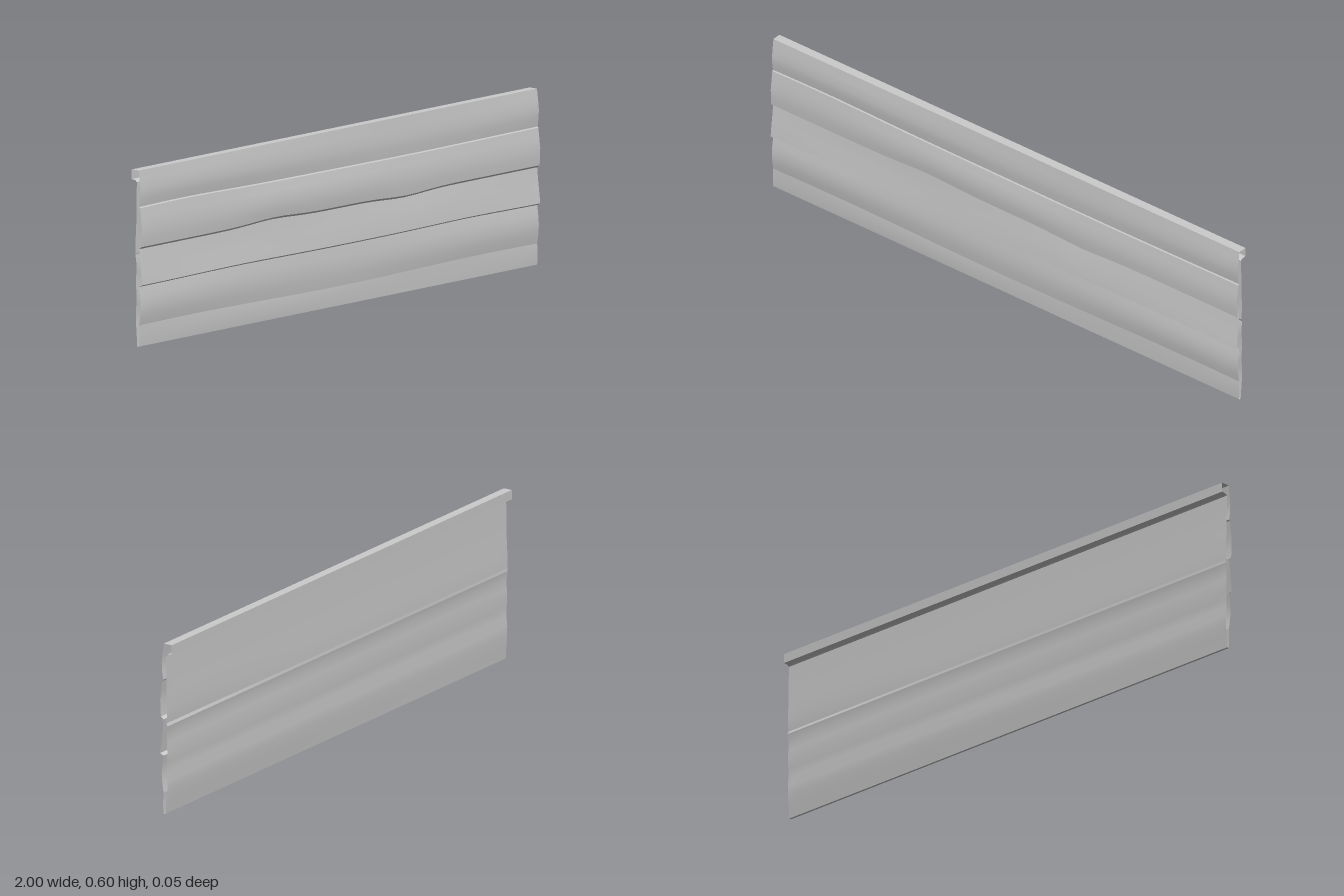
import * as THREE from 'three';

const material = new THREE.MeshStandardMaterial({ color: 0xcccccc, side: THREE.DoubleSide });
const COLS = 36;

// Smooth sheet through rows of [y, z]; wave(x, y, row) returns small [dy, dz] offsets.
// Rows running upward make a surface facing +z, downward one facing -z.
function sheet(name, rows, wave = () => [0, 0]) {
  const pos = [], idx = [];
  rows.forEach(([y, z], r) => {
    for (let c = 0; c <= COLS; c++) {
      const x = -1 + 2 * c / COLS;
      const [dy, dz] = wave(x, y, r);
      pos.push(x, y + dy, z + dz);
      if (r && c) {
        const d = r * (COLS + 1) + c, b = d - COLS - 1;
        idx.push(b - 1, b, d, b - 1, d, d - 1);
      }
    }
  });
  const g = new THREE.BufferGeometry();
  g.setAttribute('position', new THREE.Float32BufferAttribute(pos, 3));
  g.setIndex(idx);
  g.computeVertexNormals();
  const mesh = new THREE.Mesh(g, material);
  mesh.name = name;
  return mesh;
}

// Local dent or bump along the length
const bump = (x, at, width) => Math.exp(-(((x - at) / width) ** 2));

// Height wobble of the seams between boards, from the bottom up
const seams = [
  () => 0,
  x => 0.004 * Math.sin(4.2 * x - 1.6),
  x => 0.004 * (bump(x, -0.5, 0.3) + bump(x, 0.65, 0.25)),
  x => 0.009 * (bump(x, -0.33, 0.14) - bump(x, 0.33, 0.13)),
  x => 0.007 * bump(x, -0.78, 0.3) - 0.004 * bump(x, 0.4, 0.5),
  () => 0,
];

// Each board's [y, z] section from its lower to its upper seam
const boards = [
  [[0, 0.008], [0.035, 0.011], [0.07, 0.008]],
  [[0.07, 0.008], [0.1, 0.013], [0.135, 0.016], [0.17, 0.013], [0.203, 0.008]],
  [[0.21, 0.022], [0.24, 0.02], [0.275, 0.016], [0.305, 0.012], [0.332, 0.008]],
  [[0.34, 0.019], [0.365, 0.022], [0.4, 0.024], [0.435, 0.019], [0.468, 0.013]],
  [[0.472, 0.01], [0.5, 0.014], [0.53, 0.016], [0.565, 0.012], [0.6, 0.007]],
];

// Wave of board i: seam wobble blended over its height plus a shallow mid bulge
const boardWave = i => (x, y) => {
  const lo = boards[i][0][0], hi = boards[i].at(-1)[0];
  const t = (y - lo) / (hi - lo);
  const dy = seams[i](x) * (1 - t) + seams[i + 1](x) * t;
  return [dy, -0.0025 * Math.sin(Math.PI * t) * (0.5 + 0.5 * Math.sin(3.6 * x + 1.7 * i))];
};

export function createModel() {
  const model = new THREE.Group();
  model.name = 'sidingPanel';

  // Overlapping front boards and the narrow ledges between them
  boards.forEach((rows, i) => {
    model.add(sheet(`board${i + 1}`, rows, boardWave(i)));
    if (i > 1) {
      const ledge = [boards[i - 1].at(-1), rows[0]];
      model.add(sheet(`ledge${i}`, ledge, x => [seams[i](x), 0]));
    }
  });

  // Back skin in two sheets with a faint crease, gently rippled below it
  const ripple = (x, y) => [0, -0.001 * Math.sin(Math.PI * y / 0.32) * (1 + Math.sin(2.5 * x))];
  model.add(sheet('lowerBack', [
    [0.31, -0.008], [0.285, -0.004], [0.25, -0.004], [0.215, -0.006], [0.18, -0.003],
    [0.15, -0.003], [0.115, -0.006], [0.085, -0.006], [0.045, -0.003], [0, 0],
  ], ripple));
  model.add(sheet('backCrease', [[0.32, -0.004], [0.31, -0.008]],
    (x, y) => y > 0.315 ? [0, -0.003 * (1 - bump(x, 1, 0.5))] : ripple(x, y)));
  model.add(sheet('upperBack', [
    [0.56, -0.002], [0.5, -0.003], [0.43, -0.004], [0.37, -0.007], [0.32, -0.004],
  ], (x, y) => [0, y < 0.33 ? -0.003 * (1 - bump(x, 1, 0.5)) : 0]));

  // Folded top rim with its rear lip
  model.add(sheet('topCap', [[0.6, 0.007], [0.6, -0.025]]));
  model.add(sheet('rearLip', [[0.6, -0.025], [0.567, -0.025]]));
  model.add(sheet('lipUnderside', [[0.567, -0.025], [0.565, -0.008], [0.56, -0.002]]));

  // Bottom edge
  model.add(sheet('bottomEdge', [[0, 0], [0, 0.008]]));
  return model;
}
